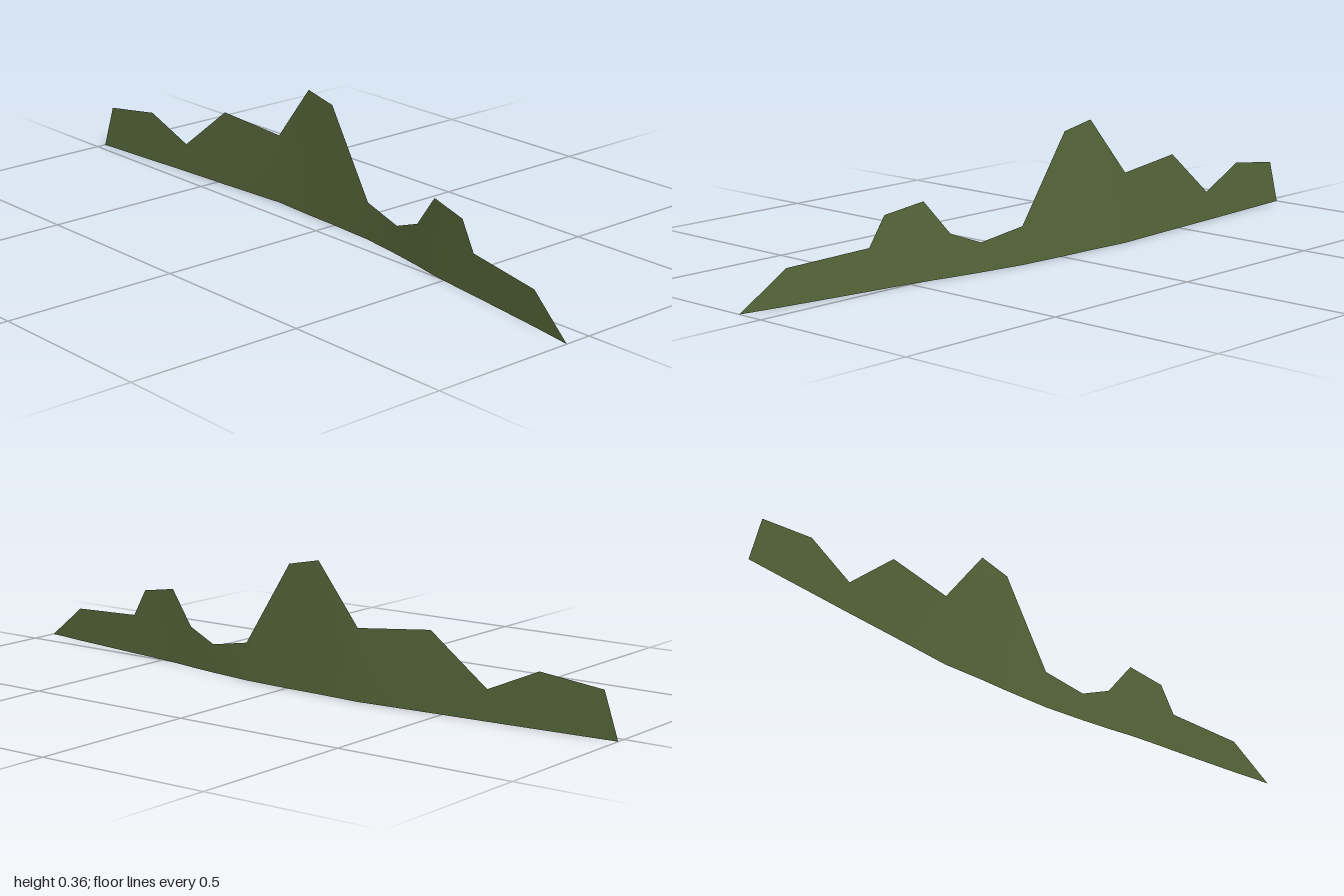
import * as THREE from 'three';

// Skyline of the ridge from right to left: x, height, z
const skyline = [
  [-1, 0, -0.028], [-0.96, 0.125, -0.031], [-0.78, 0.148, -0.043], [-0.633, 0.084, -0.053],
  [-0.465, 0.217, -0.063], [-0.245, 0.197, -0.078], [-0.11, 0.36, -0.07], [-0.01, 0.34, -0.067],
  [0.145, 0.105, -0.058], [0.28, 0.08, -0.038], [0.375, 0.115, -0.021], [0.455, 0.21, -0.004],
  [0.575, 0.19, 0.014], [0.623, 0.112, 0.02], [0.868, 0.096, 0.056], [1, 0, 0.078],
];

export function createModel() {
  const group = new THREE.Group();
  group.name = 'hillBackdrop';
  const olive = new THREE.MeshStandardMaterial({ color: 0x58693b, side: THREE.DoubleSide });
  olive.name = 'oliveGreen';

  // Gently bent upright sheet: one ground point and one skyline point per column
  const positions = [];
  const indices = [];
  skyline.forEach(([x, y, z], i) => {
    positions.push(x, 0, z, x, y, z);
    if (i === skyline.length - 1) return;
    const a = i * 2;
    if (i < skyline.length - 2) indices.push(a, a + 2, a + 3);
    else indices.push(a, a + 2, a + 1);
    if (i > 0 && i < skyline.length - 2) indices.push(a, a + 3, a + 1);
  });
  const geometry = new THREE.BufferGeometry();
  geometry.setAttribute('position', new THREE.Float32BufferAttribute(positions, 3));
  geometry.setIndex(indices);
  geometry.computeVertexNormals();

  const ridge = new THREE.Mesh(geometry, olive);
  ridge.name = 'hillRidge';
  group.add(ridge);
  return group;
}
